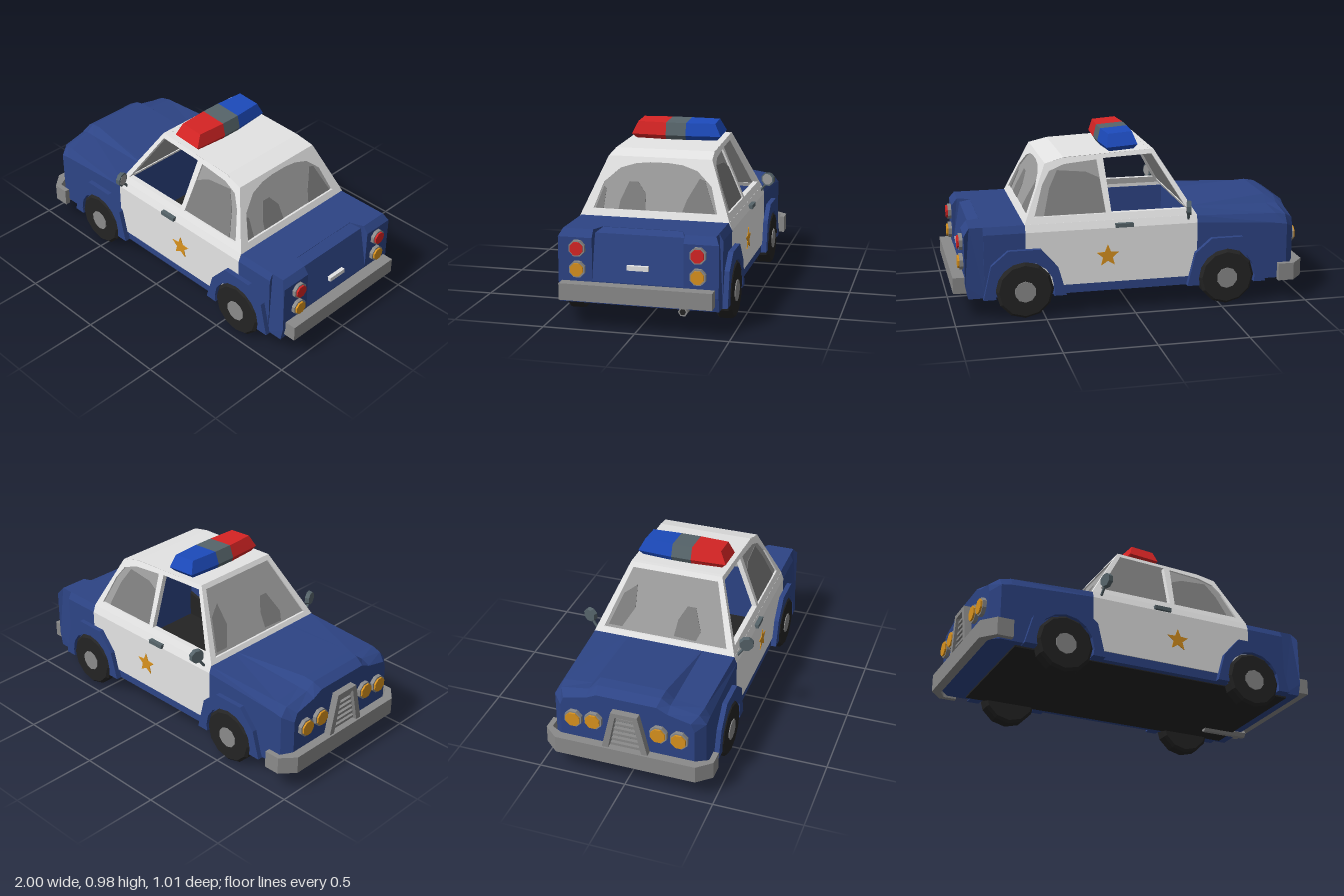
import * as THREE from 'three';

const mat = (name, color) => {
  const m = new THREE.MeshStandardMaterial({ color, side: THREE.DoubleSide });
  m.name = name;
  return m;
};

export function createModel() {
  const car = new THREE.Group();
  car.name = 'patrolCar';
  const white = mat('white paint', 0xe4e4e4), navy = mat('navy paint', 0x2d4485),
    glass = mat('glass', 0x9a9a9a), shade = mat('glass reflection', 0x7a7a7a),
    chrome = mat('chrome', 0x8a8a8a), black = mat('black', 0x242424),
    red = mat('red', 0xd62424), blue = mat('blue light', 0x1c4abb),
    slate = mat('slate', 0x56646a), amber = mat('amber', 0xd9921e);

  // Adds a facetted mesh
  const add = (name, geo, material, parent = car) => {
    const g = geo.index ? geo.toNonIndexed() : geo;
    g.computeVertexNormals();
    const m = new THREE.Mesh(g, material);
    m.name = name;
    parent.add(m);
    return m;
  };
  const box = (name, x0, x1, y0, y1, z0, z1, m) => add(name,
    new THREE.BoxGeometry(x1 - x0, y1 - y0, z1 - z0).translate((x0 + x1) / 2, (y0 + y1) / 2, (z0 + z1) / 2), m);
  const poly = (pts, holes = []) => {
    const s = new THREE.Shape(pts.map(p => new THREE.Vector2(...p)));
    s.holes = holes.map(h => new THREE.Path(h.map(p => new THREE.Vector2(...p))));
    return s;
  };
  const extrude = (shape, depth) => new THREE.ExtrudeGeometry(shape, { depth, bevelEnabled: false, curveSegments: 6 });
  // Moves each vertex by a rule; flip turns faces over when the rule mirrors
  const warp = (geo, rule, flip) => {
    const g = geo.index ? geo.toNonIndexed() : geo, p = g.attributes.position;
    for (let i = 0; i < p.count; i++) p.setXYZ(i, ...rule(p.getX(i), p.getY(i), p.getZ(i)));
    if (flip) for (let i = 0; i < p.count; i += 3) {
      const a = [p.getX(i), p.getY(i), p.getZ(i)];
      p.setXYZ(i, p.getX(i + 1), p.getY(i + 1), p.getZ(i + 1));
      p.setXYZ(i + 1, ...a);
    }
    return g;
  };
  // Skins mirrored half sections [y, z, dx] placed along x
  const loft = (stations) => {
    const pos = [], idx = [];
    const n = stations[0][1].length * 2;
    for (const [x, half] of stations) {
      half.forEach(([y, z, dx = 0]) => pos.push(x + dx, y, z));
      [...half].reverse().forEach(([y, z, dx = 0]) => pos.push(x + dx, y, -z));
    }
    for (let i = 0; i < stations.length - 1; i++) for (let j = 0; j < n; j++) {
      const a = i * n + j, b = i * n + (j + 1) % n;
      idx.push(a, a + n, b, a + n, b + n, b);
    }
    const e = (stations.length - 1) * n;
    for (let j = 0; j < n / 2 - 1; j++) {
      const a = j, b = j + 1, c = n - 2 - j, d = n - 1 - j;
      idx.push(a, b, d, b, c, d, e + a, e + d, e + b, e + b, e + d, e + c);
    }
    const g = new THREE.BufferGeometry();
    g.setAttribute('position', new THREE.Float32BufferAttribute(pos, 3));
    g.setIndex(idx);
    return g;
  };

  // Bonnet with raised middle, and boot
  add('bonnet', loft([
    [-0.95, [[0.13, 0.38], [0.41, 0.38], [0.46, 0.36], [0.49, 0.23], [0.52, 0.17]]],
    [-0.9, [[0.125, 0.43], [0.44, 0.43], [0.49, 0.39], [0.515, 0.23], [0.55, 0.18]]],
    [-0.84, [[0.125, 0.43], [0.45, 0.43], [0.5, 0.4], [0.515, 0.23], [0.56, 0.185]]],
    [-0.37, [[0.125, 0.43], [0.48, 0.43], [0.518, 0.415], [0.519, 0.23], [0.52, 0.21]]]]), navy);
  const boot = [[0.125, 0.43], [0.48, 0.43], [0.52, 0.41]];
  add('boot', loft([[0.6, boot], [0.83, boot]]), navy);
  add('bootLid', extrude(poly([[0.83, 0.125], [0.92, 0.125], [0.935, 0.25], [0.89, 0.5], [0.83, 0.518]]), 0.5).translate(0, 0, -0.25), navy);
  box('numberPlateHandle', 0.9, 0.94, 0.32, 0.345, -0.058, 0.058, white);

  // Floor and sills
  box('floor', -0.8, 0.86, 0.115, 0.15, -0.39, 0.39, black);

  // Cabin side plane
  const sideZ = y => 0.415 - (y - 0.52) * 0.403;
  const rearWindow = [[0.145, 0.558], [0.175, 0.838], [0.36, 0.822], [0.445, 0.79], [0.49, 0.72], [0.545, 0.558]];
  const frontWindow = [[-0.315, 0.558], [-0.14, 0.855], [0.138, 0.843], [0.115, 0.558]];
  const sideFrame = poly([[-0.37, 0.52], [-0.15, 0.88], [0.36, 0.855], [0.465, 0.83], [0.6, 0.52]], [frontWindow, rearWindow]);
  const sideShade = poly([[0.147, 0.56], [0.165, 0.74], [0.24, 0.775], [0.4, 0.79], [0.45, 0.7], [0.49, 0.56]]);
  const doorProfile = poly([[0.4, 0.17], [0.43, 0.17], [0.43, 0.48], [0.415, 0.522], [0.385, 0.522]]);
  const arch = (side) => {
    const s = poly([[-0.23, 0.12], [-0.185, 0.28], [-0.09, 0.39], [0.09, 0.39], [0.185, 0.31], [0.23, 0.12], [0.16, 0.12]]);
    for (let i = 0; i <= 8; i++) {
      const a = Math.PI * i / 8;
      s.lineTo(0.165 * Math.cos(a), 0.16 + 0.165 * Math.sin(a));
    }
    s.lineTo(-0.16, 0.12);
    return extrude(s, 0.06).translate(0, 0, side > 0 ? 0.398 : -0.458);
  };
  const star = new THREE.Shape();
  for (let i = 0; i < 10; i++) {
    const a = Math.PI / 2 + i * Math.PI / 5, r = i % 2 ? 0.029 : 0.066;
    star[i ? 'lineTo' : 'moveTo'](r * Math.cos(a), r * Math.sin(a));
  }
  const tyre = [[0, -0.045], [0.145, -0.045], [0.16, -0.03], [0.16, 0.03], [0.145, 0.045], [0, 0.045]];

  for (const s of [1, -1]) {
    const slope = (shape, depth, out) => warp(extrude(shape, depth),
      (x, y, z) => [x, y, s * (sideZ(y) + z - depth + out)], s < 0);
    add('cabinSide', slope(sideFrame, 0.03, 0), white);
    add('rearSideGlass', slope(poly(rearWindow), 0.006, -0.012), glass);
    add('sideGlassReflection', slope(sideShade, 0.003, -0.008), shade);
    add('door', warp(extrude(doorProfile, 0.97), (x, y, z) => [z - 0.37, y, s * x], s > 0), white);
    const zs = (a, b) => (s > 0 ? [a, b] : [-b, -a]);
    box('doorLining', -0.37, 0.6, 0.13, 0.5, ...zs(0.38, 0.4), navy);
    box('sill', -0.37, 0.6, 0.12, 0.17, ...zs(0.38, 0.425), navy);
    box('doorHandle', 0, 0.1, 0.483, 0.505, ...zs(0.42, 0.445), slate);
    add('doorStar', extrude(star, 0.006).translate(0.143, 0.322, s > 0 ? 0.428 : -0.434), amber);
    // Rear wing
    add('rearWing', warp(extrude(poly([[0.83, 0.125], [0.92, 0.125], [0.935, 0.2], [0.935, 0.48], [0.905, 0.52], [0.83, 0.52]]), 0.2),
      (x, y, z) => [x, y, s * (z < 0.1 ? (x > 0.85 ? 0.245 : 0.215) : (y > 0.5 ? 0.41 : 0.43))], s < 0), navy);
    // Wheels and arches
    for (const x of [-0.54, 0.61]) {
      add('wheelArch', arch(s).translate(x, 0, 0), navy);
      add('tyre', new THREE.LatheGeometry(tyre.map(p => new THREE.Vector2(...p)), 12)
        .rotateX(Math.PI / 2).translate(x, 0.16, s * 0.415), black);
      add('hubcap', new THREE.CylinderGeometry(0.06, 0.06, 0.01, 10).rotateX(Math.PI / 2).translate(x, 0.155, s * 0.46), chrome);
    }
    // Wing mirror
    const mirror = new THREE.Group();
    mirror.name = 'wingMirror';
    mirror.position.set(-0.31, 0.578, s * 0.465);
    mirror.rotation.y = s * 0.3;
    const disc = (r, d) => new THREE.CylinderGeometry(r, r * 0.9, d, 8).rotateY(Math.PI / 8).rotateZ(-Math.PI / 2);
    add('mirrorShell', disc(0.043, 0.025), slate, mirror);
    add('mirrorGlass', disc(0.034, 0.004).translate(0.0135, 0, 0), glass, mirror);
    car.add(mirror);
    add('mirrorStalk', new THREE.TubeGeometry(new THREE.LineCurve3(
      new THREE.Vector3(-0.32, 0.5, s * 0.415), new THREE.Vector3(-0.313, 0.55, s * 0.452)), 1, 0.008, 6), slate);
  }

  // Roof
  const roof = (y) => [[y - 0.02, sideZ(y) - 0.01], [y, sideZ(y)]];
  add('roof', loft([[-0.15, roof(0.88)], [0.36, roof(0.857)], [0.465, roof(0.83)]]), white);

  // Windscreen and rear window, leaning along x with height
  const ends = [
    { name: 'windscreen', at: y => -0.37 + (y - 0.52) * 0.611, out: -1, top: 0.88,
      hole: [[0.365, 0.545], [0.25, 0.855]],
      spots: [[[0.05, 0.56], [0.06, 0.64], [0.1, 0.71], [0.15, 0.71], [0.2, 0.6], [0.18, 0.555]],
        [[-0.34, 0.56], [-0.28, 0.72], [-0.21, 0.77], [-0.2, 0.66], [-0.26, 0.56]]] },
    { name: 'rearWindow', at: y => 0.6 - (y - 0.52) * 0.4355, out: 1, top: 0.83,
      hole: [[0.345, 0.556], [0.3, 0.695], [0.215, 0.77], [0.13, 0.796], [0.05, 0.804]],
      spots: [[[0.055, 0.558], [0.06, 0.64], [0.11, 0.7], [0.16, 0.7], [0.2, 0.6], [0.205, 0.558]],
        [[-0.33, 0.558], [-0.26, 0.72], [-0.23, 0.73], [-0.17, 0.62], [-0.15, 0.558]],
        [[0.335, 0.558], [0.3, 0.67], [0.285, 0.66], [0.29, 0.558]]] }];
  for (const { name, at, out, top, hole, spots } of ends) {
    const ring = [...hole, ...[...hole].reverse().map(([z, y]) => [-z, y])];
    const b = sideZ(0.52), t = sideZ(top);
    const lean = (shape, depth, lift) => warp(extrude(shape, depth),
      (z, y, d) => [at(y) + out * (d - depth + lift), y, z], out > 0);
    add(name + 'Frame', lean(poly([[b, 0.52], [t, top], [-t, top], [-b, 0.52]], [ring]), 0.025, 0.002), white);
    add(name + 'Glass', lean(poly(ring), 0.006, -0.01), glass);
    spots.forEach(p => add(name + 'Reflection', lean(poly(p), 0.003, -0.006), shade));
  }

  // Light bar
  const bar = new THREE.Group();
  bar.name = 'lightBar';
  const mid = [[-0.047, 0.085], [-0.02, 0.1], [0.05, 0.078]];
  const tip = d => [[-0.047, 0.07, -d * 0.025], [-0.02, 0.088, 0], [0.05, 0.068, -d * 0.035]];
  const lamp = (name, st, m) => add(name, loft(st).rotateY(Math.PI / 2), m, bar);
  lamp('redLight', [[-0.26, tip(-1)], [-0.058, mid]], red);
  lamp('barCentre', [[-0.058, mid], [0.058, mid]], slate);
  lamp('blueLight', [[0.058, mid], [0.26, tip(1)]], blue);
  bar.position.set(0.025, 0.92, 0);
  bar.rotation.z = -0.07;
  car.add(bar);

  // Round lamps facing along x
  const roundLamp = (name, x, y, z, r, m) => {
    const d = Math.sign(x);
    const cyl = (a, len, cx) => new THREE.CylinderGeometry(a, a, len, 8).rotateY(Math.PI / 8).rotateZ(Math.PI / 2).translate(cx, y, z);
    add(name + 'Rim', cyl(r + 0.006, 0.03, x - d * 0.015), chrome);
    add(name, cyl(r - 0.003, 0.04, x - d * 0.01), m);
  };
  for (const s of [1, -1]) {
    roundLamp('headlight', -0.972, 0.35, s * 0.3, 0.046, amber);
    roundLamp('headlight', -0.972, 0.36, s * 0.185, 0.046, amber);
    roundLamp('tailLight', 0.955, 0.425, s * 0.323, 0.04, red);
    roundLamp('indicator', 0.955, 0.312, s * 0.323, 0.04, amber);
  }

  // Grille
  const yz = (shape, depth, x) => warp(extrude(shape, depth), (z, y, d) => [x - d, y, z]);
  const inner = [[-0.095, 0.22], [0.095, 0.22], [0.05, 0.43], [-0.05, 0.43]];
  add('grilleFrame', yz(poly([[-0.135, 0.2], [0.135, 0.2], [0.075, 0.455], [-0.075, 0.455]], [inner]), 0.045, -0.945), chrome);
  add('grilleBack', yz(poly(inner), 0.008, -0.946), slate);
  for (let i = 0; i < 6; i++) {
    const w = 0.085 - i * 0.007;
    box('grilleSlat', -0.975, -0.95, 0.235 + i * 0.033, 0.25 + i * 0.033, -w, w, chrome);
  }

  // Bumpers and exhaust
  const half = [[-0.84, 0.48], [-0.93, 0.48], [-1, 0.4]], back = [[-0.95, 0.385], [-0.915, 0.45], [-0.84, 0.45]];
  const neg = a => [...a].reverse().map(([x, z]) => [x, -z]);
  add('frontBumper', extrude(poly([...half, ...neg(half), ...neg(back), ...back]), 0.1).rotateX(-Math.PI / 2).translate(0, 0.122, 0), chrome);
  box('rearBumper', 0.925, 1, 0.155, 0.245, -0.41, 0.41, chrome);
  add('exhaust', new THREE.CylinderGeometry(0.026, 0.026, 0.28, 6).rotateZ(Math.PI / 2).translate(0.81, 0.122, -0.245), chrome);
  add('exhaustBore', new THREE.CylinderGeometry(0.017, 0.017, 0.004, 6).rotateZ(Math.PI / 2).translate(0.951, 0.122, -0.245), black);
  return car;
}
